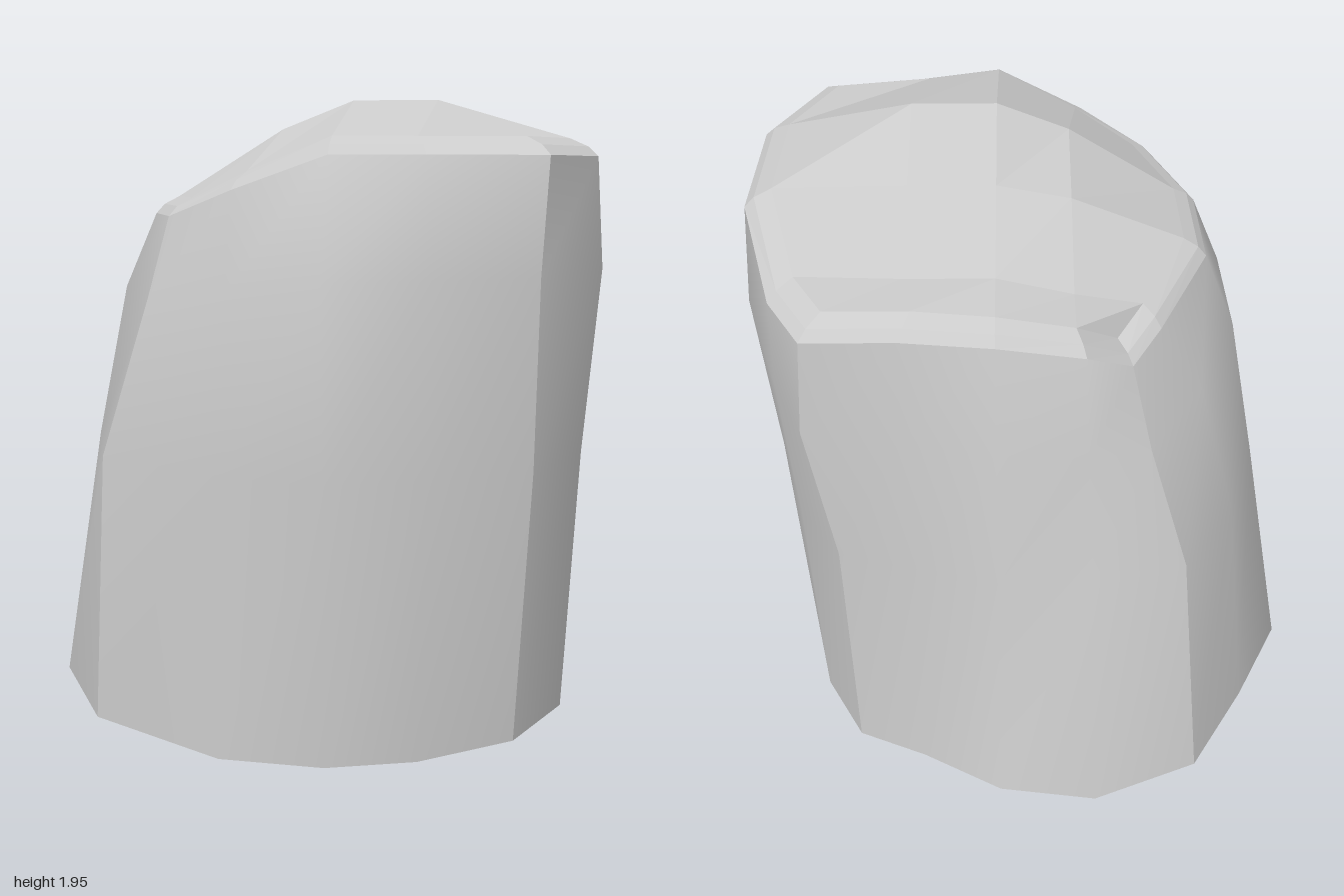
import * as THREE from 'three';
import { mergeVertices } from 'three/addons/utils/BufferGeometryUtils.js';

// Outline rings [x, y, z], starting at the front and running round past the left side (+x).
// Points 2, 6, 10 and 14 are the four corners.
const base = [
  [0.10, 0, 0.925], [0.365, 0, 0.845], [0.645, 0, 0.645], [0.795, 0, 0.32],
  [0.795, 0, -0.15], [0.72, 0, -0.45], [0.585, 0.005, -0.69], [0.36, 0.01, -0.79],
  [0.10, 0.03, -0.95], [-0.21, 0.04, -1.0], [-0.55, 0.04, -0.86], [-0.74, 0.04, -0.55],
  [-0.90, 0.04, -0.24], [-0.88, 0.03, 0.26], [-0.665, 0.01, 0.645], [-0.22, 0, 0.90],
];
const waist = [
  [0.10, 0.85, 0.97], [0.39, 0.85, 0.87], [0.69, 0.85, 0.69], [0.84, 0.85, 0.36],
  [0.84, 0.85, -0.14], [0.74, 0.85, -0.48], [0.60, 0.84, -0.68], [0.36, 0.85, -0.76],
  [0.10, 0.85, -0.83], [-0.19, 0.86, -0.845], [-0.48, 0.86, -0.76], [-0.65, 0.86, -0.50],
  [-0.75, 0.86, -0.20], [-0.745, 0.86, 0.27], [-0.62, 0.86, 0.67], [-0.21, 0.85, 0.885],
];
const shoulder = [
  [0.10, 1.42, 1.0], [0.40, 1.42, 0.86], [0.70, 1.42, 0.70], [0.89, 1.43, 0.38],
  [0.895, 1.43, -0.13], [0.76, 1.40, -0.55], [0.67, 1.35, -0.715], [0.38, 1.33, -0.745],
  [0.10, 1.32, -0.79], [-0.17, 1.30, -0.78], [-0.36, 1.25, -0.68], [-0.53, 1.30, -0.44],
  [-0.655, 1.35, -0.16], [-0.65, 1.35, 0.25], [-0.48, 1.35, 0.62], [-0.20, 1.38, 0.84],
];
const rim = [
  [0.10, 1.77, 0.84], [0.37, 1.77, 0.76], [0.72, 1.77, 0.695], [0.87, 1.77, 0.36],
  [0.87, 1.77, -0.13], [0.76, 1.665, -0.51], [0.65, 1.655, -0.70], [0.37, 1.655, -0.70],
  [0.10, 1.64, -0.71], [-0.16, 1.59, -0.69], [-0.30, 1.50, -0.60], [-0.39, 1.545, -0.47],
  [-0.555, 1.59, -0.13], [-0.55, 1.59, 0.23], [-0.42, 1.59, 0.59], [-0.20, 1.67, 0.73],
];

// Skins an open or closed net of point rows
function skin(rows) {
  const out = [];
  for (let r = 0; r < rows.length - 1; r++) {
    for (let i = 0; i < rows[r].length - 1; i++) {
      const a = rows[r][i], b = rows[r][i + 1], c = rows[r + 1][i + 1], d = rows[r + 1][i];
      out.push(...a, ...b, ...c, ...a, ...c, ...d);
    }
  }
  const geometry = new THREE.BufferGeometry();
  geometry.setAttribute('position', new THREE.Float32BufferAttribute(out, 3));
  return geometry;
}

function addMesh(group, name, geometry, flatShading) {
  geometry.computeVertexNormals();
  const mesh = new THREE.Mesh(geometry, new THREE.MeshStandardMaterial({
    color: 0xcccccc, flatShading, side: THREE.DoubleSide,
  }));
  mesh.name = name;
  group.add(mesh);
}

export function createModel() {
  const group = new THREE.Group();
  group.name = 'cappedStump';

  // Four smooth wall panels meeting at sharp corners, open underneath
  ['leftWall', 'backWall', 'rightWall', 'frontWall'].forEach((name, side) => {
    const panel = [base, waist, shoulder, rim].map(ring =>
      [0, 1, 2, 3, 4].map(k => ring[(2 + side * 4 + k) % 16]));
    addMesh(group, name, mergeVertices(skin(panel)), false);
  });

  // Two-step rounded edge of the cap
  const { lerp } = THREE.MathUtils;
  const bevel = (inset, rise) => rim.map(([x, y, z]) =>
    [lerp(x, 0.1, inset), y + rise, lerp(z, 0, inset)]);
  const crown = bevel(0.11, 0.055);
  const edge = [rim, bevel(0.04, 0.03), crown].map(ring => [...ring, ring[0]]);
  addMesh(group, 'capEdge', skin(edge), true);

  // Faceted cap: a five by five net, with the ridge near the front falling to the back
  const inner = [
    { z: 0.21, heights: [1.86, 1.95, 1.95] },
    { z: -0.12, heights: [1.79, 1.835, 1.835] },
    { z: -0.46, heights: [1.66, 1.715, 1.715] },
  ];
  const net = [
    [14, 15, 0, 1, 2].map(i => crown[i]),
    ...inner.map(({ z, heights }, r) => [
      crown[13 - r],
      ...[-0.13, 0.1, 0.37].map((x, c) => [x, heights[c], z]),
      crown[3 + r],
    ]),
    [10, 9, 8, 7, 6].map(i => crown[i]),
  ];
  addMesh(group, 'cap', skin(net), true);

  return group;
}
